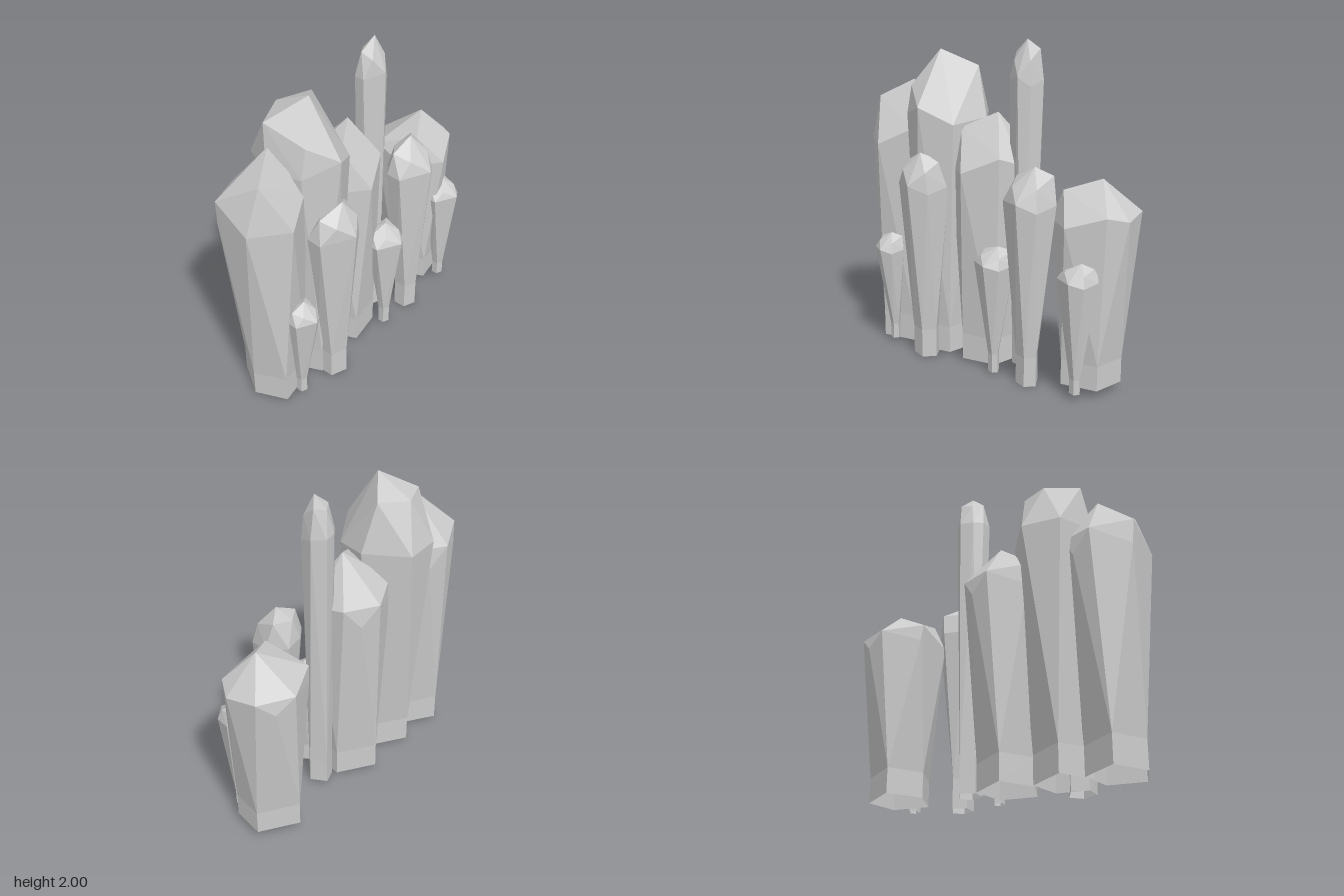
import * as THREE from 'three';

// The feet are open underneath, so both sides show.
const material = new THREE.MeshStandardMaterial({ color: 0xcccccc, flatShading: true, side: THREE.DoubleSide });

// Head points are [x, drop below the tip, z]; foot points are [x, z].
const broadFoot = [[0.16, -0.06], [0.12, 0.14], [-0.1, 0.18], [-0.18, -0.01], [-0.06, -0.2]];
const broad = {
  head: [[0.04, 0, 0], [0, 0.2, -0.25], [0.21, 0.19, -0.15], [0.16, 0.18, 0.15], [-0.15, 0.07, 0.11],
    [-0.23, 0.17, -0.14], [0.24, 0.21, 0.04], [-0.05, 0.25, 0.25], [-0.245, 0.25, 0.09],
    [-0.22, 0.27, -0.15], [0.12, 0.28, -0.21]],
  foot: broadFoot,
};
const grand = {
  head: [[0, 0, 0.05], [-0.2, 0.13, -0.1], [0, 0.12, -0.19], [0.18, 0.1, -0.09], [-0.15, 0.22, 0.15],
    [0, 0.33, 0.27], [0.27, 0.4, -0.05], [0.19, 0.43, 0.17], [0.1, 0.41, -0.29], [-0.14, 0.41, -0.27],
    [-0.24, 0.41, -0.06], [-0.19, 0.4, 0.15]],
  foot: broadFoot,
};
const slim = {
  head: [[0.02, 0, -0.02], [-0.12, 0.07, -0.04], [-0.03, 0.08, -0.1], [0.11, 0.05, -0.08], [0.09, 0.11, 0.06],
    [-0.08, 0.11, 0.06], [0.15, 0.21, -0.05], [0.11, 0.24, 0.09], [0.01, 0.19, 0.15],
    [-0.16, 0.21, 0.04], [-0.15, 0.21, -0.06], [-0.07, 0.21, -0.12], [0.06, 0.21, -0.15]],
  foot: [[0.07, 0.02], [0.02, 0.07], [-0.06, 0.04], [-0.06, -0.04], [0.02, -0.07]],
};

// Outer facets around a ring of points and a head, leaving the ring itself open.
function shell(ring, head) {
  const points = [...ring, ...head];
  const facets = [];
  const plane = new THREE.Plane();
  for (let i = 0; i < points.length; i++) {
    for (let j = i + 1; j < points.length; j++) {
      for (let k = Math.max(j + 1, ring.length); k < points.length; k++) {
        const [a, b, c] = [points[i], points[j], points[k]];
        plane.setFromCoplanarPoints(a, b, c);
        const sides = points.map((p) => plane.distanceToPoint(p));
        if (sides.every((d) => d < 1e-7)) facets.push(a, b, c);
        else if (sides.every((d) => d > -1e-7)) facets.push(a, c, b);
      }
    }
  }
  return facets;
}

// Straight open foot up to a waist, then a flaring shaft closed by a faceted tip.
// lean shifts the tip forward, fading out towards the shoulder.
function crystal(name, shape, o) {
  const { x, z, top, bottom = 0, waist = 0.18, size = 1, tip = 1, foot = size, footZ = 0, lean = 0 } = o;
  const ring = (y) => shape.foot.map(([px, pz]) => new THREE.Vector3(x + px * foot, y, z + footZ + pz * foot));
  const head = shape.head.map(([px, drop, pz]) => new THREE.Vector3(
    x + px * size, top - drop * tip, z + pz * size + lean * Math.max(0, 1 - drop * 5)));
  const low = ring(bottom), high = ring(waist);
  const corners = shell(high, head);
  low.forEach((a, i) => {
    const n = (i + 1) % low.length;
    corners.push(a, high[i], low[n], low[n], high[i], high[n]);
  });
  const geometry = new THREE.BufferGeometry().setFromPoints(corners);
  geometry.computeVertexNormals();
  const mesh = new THREE.Mesh(geometry, material);
  mesh.name = name;
  return mesh;
}

export function createModel() {
  const group = new THREE.Group();
  group.name = 'crystalCluster';
  group.add(
    // Large crystals along the back
    crystal('rightBroadCrystal', broad, { x: -0.69, z: -0.05, top: 1.7, bottom: 0.01, tip: 1.55 }),
    crystal('grandCrystal', grand, { x: -0.38, z: -0.04, top: 1.91, bottom: 0.01 }),
    crystal('middleBroadCrystal', broad, { x: -0.03, z: -0.05, top: 1.56, bottom: 0.015, tip: 1.38 }),
    crystal('leftBroadCrystal', broad, { x: 0.7, z: -0.05, top: 1.26, bottom: 0.05, waist: 0.2 }),
    crystal('tallNeedle', slim, { x: 0.215, z: -0.045, top: 2, bottom: 0.02, size: 0.65, foot: 1.05, tip: 1.1, lean: 0.025 }),
    // Medium crystals in front
    crystal('rightMediumCrystal', slim, { x: -0.39, z: 0.175, top: 1.31, size: 1.03, foot: 1.25, footZ: -0.02, lean: 0.07 }),
    crystal('leftMediumCrystal', slim, { x: 0.375, z: 0.14, top: 1.31 }),
    // Small crystals in front
    crystal('rightSmallCrystal', slim, { x: -0.675, z: 0.19, top: 0.75, bottom: 0.03, waist: 0.13, size: 0.62, foot: 0.45, tip: 0.5, footZ: -0.04 }),
    crystal('middleSmallCrystal', slim, { x: 0.13, z: 0.15, top: 0.8, bottom: 0.01, waist: 0.13, size: 0.79, foot: 0.5, tip: 0.5 }),
    crystal('leftSmallCrystal', slim, { x: 0.72, z: 0.16, top: 0.82, bottom: 0.04, waist: 0.13, size: 0.75, foot: 0.5, tip: 0.5 }),
  );
  return group;
}
